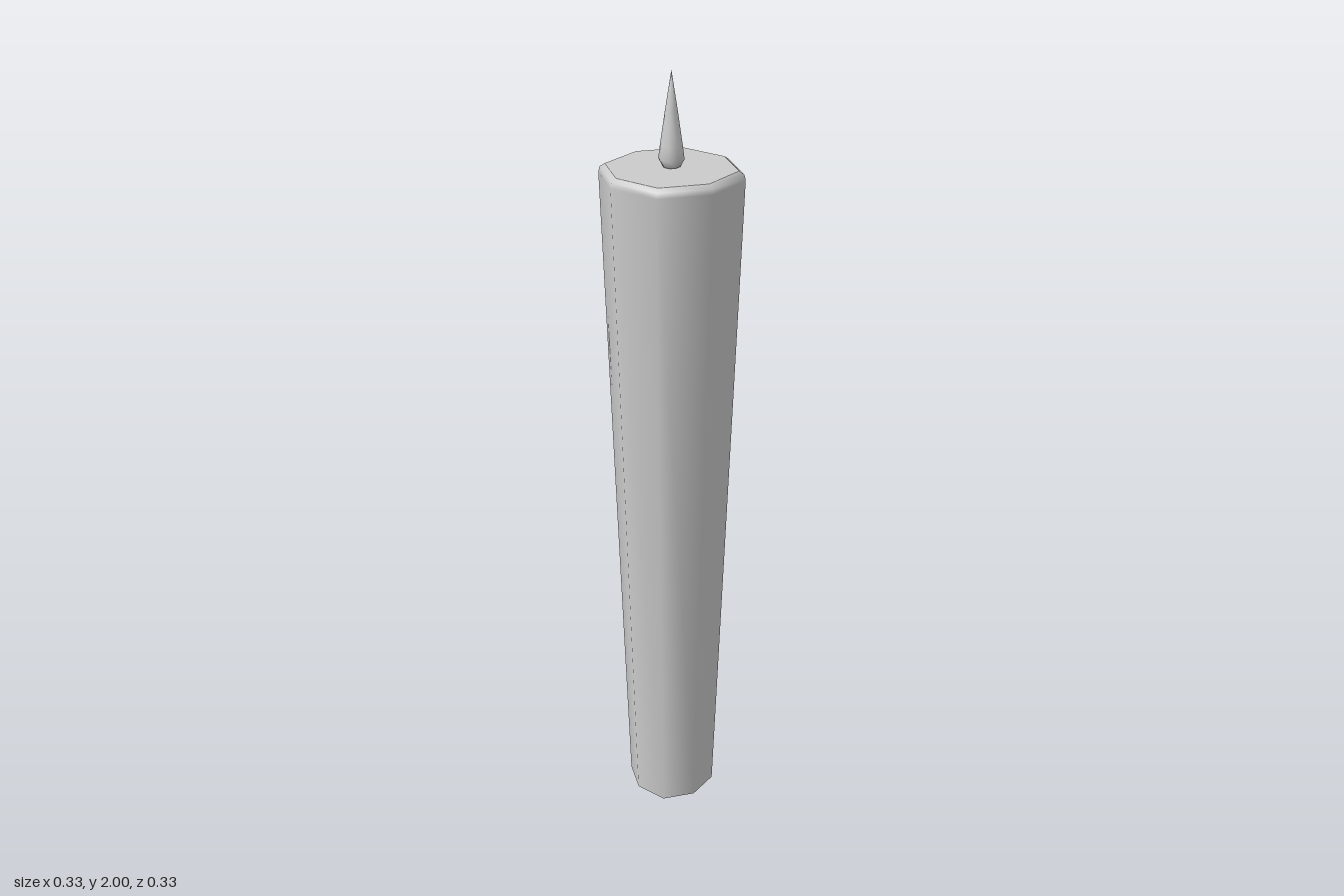
import * as THREE from 'three';

const SIDES = 8;

// Eight-sided turned part; diagonal corners sit slightly further out than the axis ones
function turned(name, profile, stretch = 1.045) {
  const points = profile.map(([r, y]) => new THREE.Vector2(r, y));
  const geometry = new THREE.LatheGeometry(points, SIDES);
  const pos = geometry.attributes.position;
  for (let i = 0; i < pos.count; i++) {
    const x = pos.getX(i), z = pos.getZ(i);
    if (Math.abs(x * z) > 1e-6) {
      pos.setX(i, x * stretch);
      pos.setZ(i, z * stretch);
    }
  }
  const material = new THREE.MeshStandardMaterial({ color: 0xcccccc, side: THREE.DoubleSide });
  const mesh = new THREE.Mesh(geometry, material);
  mesh.name = name;
  return mesh;
}

export function createModel() {
  const group = new THREE.Group();
  group.name = 'candle';

  // Tapered shaft, open below, with a small bevel around the top
  group.add(turned('shaft', [[0.112, 0], [0.165, 1.757], [0.162, 1.77], [0.15, 1.778]]));

  // Flat top with its own hard edge
  group.add(turned('top', [[0.15, 1.778], [0, 1.778]]));

  // Slender pointed flame
  group.add(turned('flame', [[0, 1.775], [0.02, 1.78], [0.029, 1.798], [0.025, 1.83], [0.0145, 1.905], [0, 2]], 1.06));

  return group;
}
